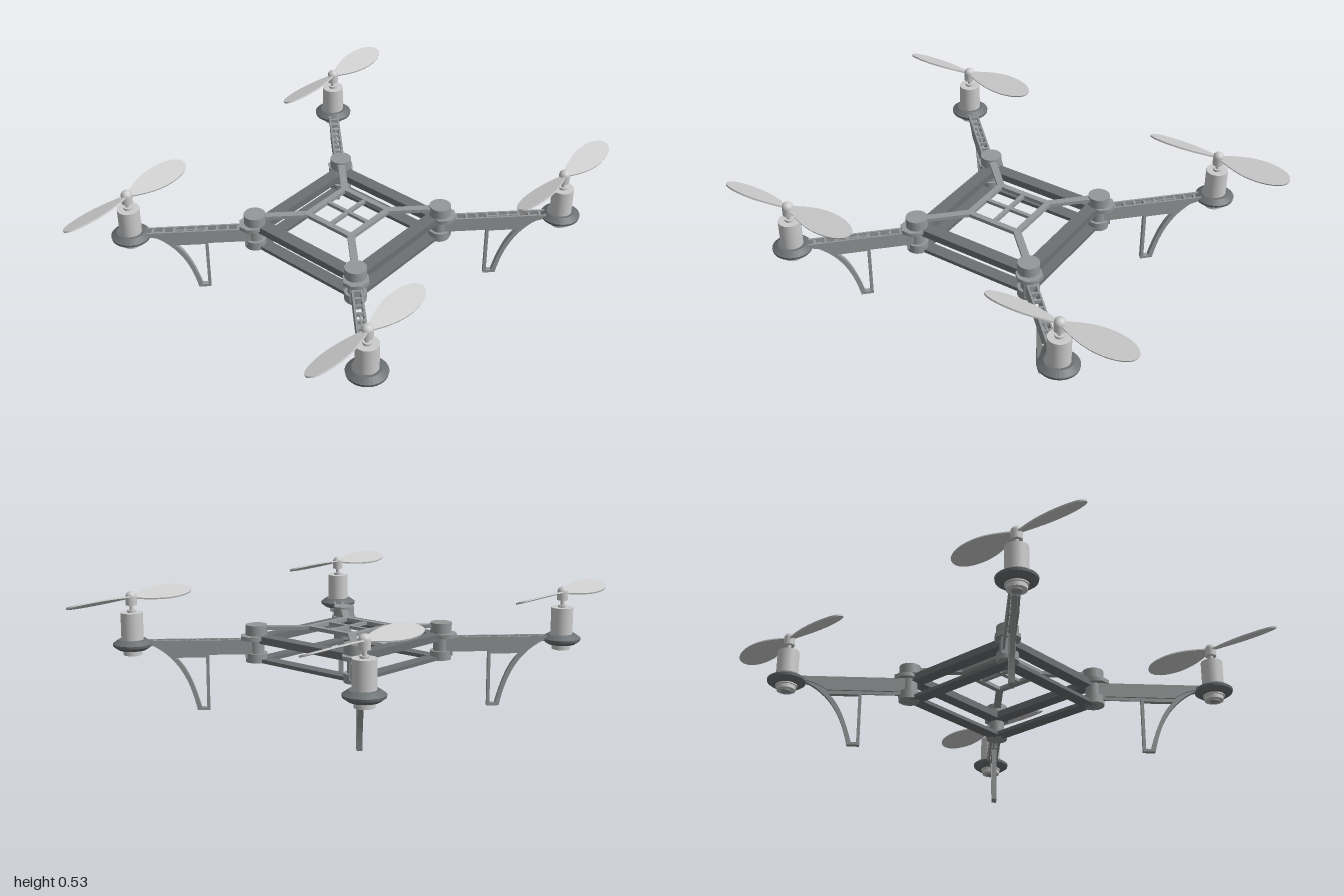
import * as THREE from 'three';

const light = new THREE.MeshStandardMaterial({ color: 0xcccccc });
const mid = new THREE.MeshStandardMaterial({ color: 0x959899 });
const dark = new THREE.MeshStandardMaterial({ color: 0x6c7072 });

function add(parent, name, geometry, material, x = 0, y = 0, z = 0) {
  const mesh = new THREE.Mesh(geometry, material);
  mesh.name = name;
  mesh.position.set(x, y, z);
  parent.add(mesh);
  return mesh;
}

function group(parent, name, x = 0, y = 0, z = 0) {
  const g = new THREE.Group();
  g.name = name;
  g.position.set(x, y, z);
  parent.add(g);
  return g;
}

const box = (w, h, d) => new THREE.BoxGeometry(w, h, d);

// cylinder standing between two heights
function disc(parent, name, radius, y0, y1, material, sides = 28, x = 0) {
  return add(parent, name, new THREE.CylinderGeometry(radius, radius, y1 - y0, sides), material, x, (y0 + y1) / 2, 0);
}

// extrusion centred on its own depth
function slab(shape, depth) {
  const g = new THREE.ExtrudeGeometry(shape, { depth, bevelEnabled: false, curveSegments: 14 });
  return g.translate(0, 0, -depth / 2);
}

// square ring of four bars lying between the posts
function squareFrame(parent, name, half, width, y0, y1, material) {
  const s = new THREE.Shape();
  const outline = (p, h) => p.moveTo(-h, -h).lineTo(h, -h).lineTo(h, h).lineTo(-h, h).closePath();
  outline(s, half + width / 2);
  const hole = new THREE.Path();
  outline(hole, half - width / 2);
  s.holes.push(hole);
  const m = add(parent, name, slab(s, y1 - y0), material, 0, (y0 + y1) / 2, 0);
  m.rotation.x = -Math.PI / 2;
}

// arm side wall: deep at the root, swept up below the motor
function wallShape() {
  const s = new THREE.Shape();
  s.moveTo(0.42, 0.25).lineTo(0.76, 0.25);
  s.quadraticCurveTo(0.8, 0.285, 0.87, 0.296);
  s.lineTo(0.87, 0.314).lineTo(0.42, 0.314).closePath();
  return s;
}

// open leg: upright strut, top strip and curved brace
function legShape() {
  const s = new THREE.Shape();
  s.moveTo(0.61, 0).lineTo(0.664, 0);
  s.bezierCurveTo(0.69, 0.12, 0.735, 0.235, 0.86, 0.295);
  s.lineTo(0.82, 0.3).lineTo(0.75, 0.25).lineTo(0.61, 0.25).closePath();
  const h = new THREE.Path();
  h.moveTo(0.623, 0.012).lineTo(0.623, 0.236).lineTo(0.752, 0.236);
  h.bezierCurveTo(0.7, 0.19, 0.67, 0.1, 0.646, 0.012);
  h.closePath();
  s.holes.push(h);
  return s;
}

// leaf-shaped blade outline, root at the hub
function bladeShape() {
  const s = new THREE.Shape();
  s.moveTo(-0.012, 0.01);
  s.bezierCurveTo(-0.03, 0.06, -0.056, 0.12, -0.056, 0.2);
  s.bezierCurveTo(-0.056, 0.26, -0.04, 0.335, 0, 0.335);
  s.bezierCurveTo(0.04, 0.335, 0.056, 0.26, 0.056, 0.2);
  s.bezierCurveTo(0.056, 0.12, 0.03, 0.06, 0.012, 0.01);
  s.closePath();
  return s;
}

function addArm(parent) {
  const wall = slab(wallShape(), 0.008);
  for (const side of [-1, 1]) add(parent, 'armWall', wall, mid, 0, 0, side * 0.019);
  // ladder rungs between the walls
  const rung = box(0.011, 0.016, 0.034);
  for (let i = 0; i < 9; i++) add(parent, 'armRung', rung, mid, 0.475 + i * 0.046, 0.304, 0);
  add(parent, 'armSpine', box(0.14, 0.012, 0.008), mid, 0.68, 0.304, 0);
  add(parent, 'leg', slab(legShape(), 0.022), mid);
}

function addPost(parent) {
  const r = 0.403;
  disc(parent, 'postTopCap', 0.047, 0.334, 0.378, mid, 28, r);
  disc(parent, 'postBottomCap', 0.047, 0.214, 0.254, mid, 28, r);
  disc(parent, 'postCore', 0.034, 0.25, 0.34, mid, 20, r);
  // arm clamp
  const plate = disc(parent, 'clampPlate', 0.058, 0.312, 0.33, mid, 8, r + 0.014);
  plate.rotation.y = Math.PI / 8;
  add(parent, 'clampBlock', box(0.06, 0.085, 0.056), mid, r + 0.018, 0.275, 0);
}

function addMotor(parent) {
  const ring = [[0.045, 0.276], [0.062, 0.276], [0.083, 0.291], [0.085, 0.302], [0.06, 0.32], [0.045, 0.32]];
  const ringGeo = new THREE.LatheGeometry(ring.map(p => new THREE.Vector2(...p)), 32).toNonIndexed();
  ringGeo.computeVertexNormals();
  add(parent, 'motorMount', ringGeo, dark);
  disc(parent, 'motorBody', 0.048, 0.27, 0.438, light, 32);
  disc(parent, 'motorBase', 0.041, 0.252, 0.272, light, 32);
  disc(parent, 'motorBottomBoss', 0.022, 0.247, 0.254, mid, 20);
  disc(parent, 'shaftCollar', 0.019, 0.436, 0.448, light, 20);
  disc(parent, 'shaft', 0.009, 0.44, 0.48, light, 16);
}

function addPropeller(parent) {
  disc(parent, 'propellerHub', 0.024, 0.47, 0.506, light, 24);
  add(parent, 'hubDome', new THREE.SphereGeometry(0.024, 24, 8, 0, Math.PI * 2, 0, Math.PI / 2), light, 0, 0.506, 0);
  const blade = slab(bladeShape(), 0.007).rotateX(-Math.PI / 2).rotateZ(-0.35);
  for (let i = 0; i < 2; i++) {
    add(parent, 'propellerBlade', blade, light, 0, 0.503, 0).rotation.y = i * Math.PI;
  }
}

export function createModel() {
  const model = new THREE.Group();
  model.name = 'quadcopter';

  // body frames
  const body = group(model, 'body');
  squareFrame(body, 'middleFrame', 0.27, 0.058, 0.298, 0.33, dark);
  squareFrame(body, 'bottomFrame', 0.27, 0.058, 0.214, 0.23, dark);

  // top spider plate: centre window, cross and diagonals
  squareFrame(body, 'centreWindow', 0.123, 0.026, 0.354, 0.37, mid);
  add(body, 'windowBar', box(0.23, 0.014, 0.018), mid, 0, 0.362, 0);
  add(body, 'windowBar', box(0.018, 0.0138, 0.23), mid, 0, 0.362, 0);

  for (const sx of [-1, 1]) for (const sz of [-1, 1]) {
    // each corner is built along its own +x and turned to the diagonal
    const corner = group(model, 'corner');
    corner.rotation.y = Math.atan2(-sz, sx);
    add(corner, 'diagonalStrut', box(0.22, 0.0156, 0.032), mid, 0.285, 0.362, 0);
    addPost(corner);
    addArm(corner);

    const rotor = group(model, 'rotor', sx * 0.662, 0, sz * 0.664);
    addMotor(rotor);
    addPropeller(rotor);
  }
  return model;
}
